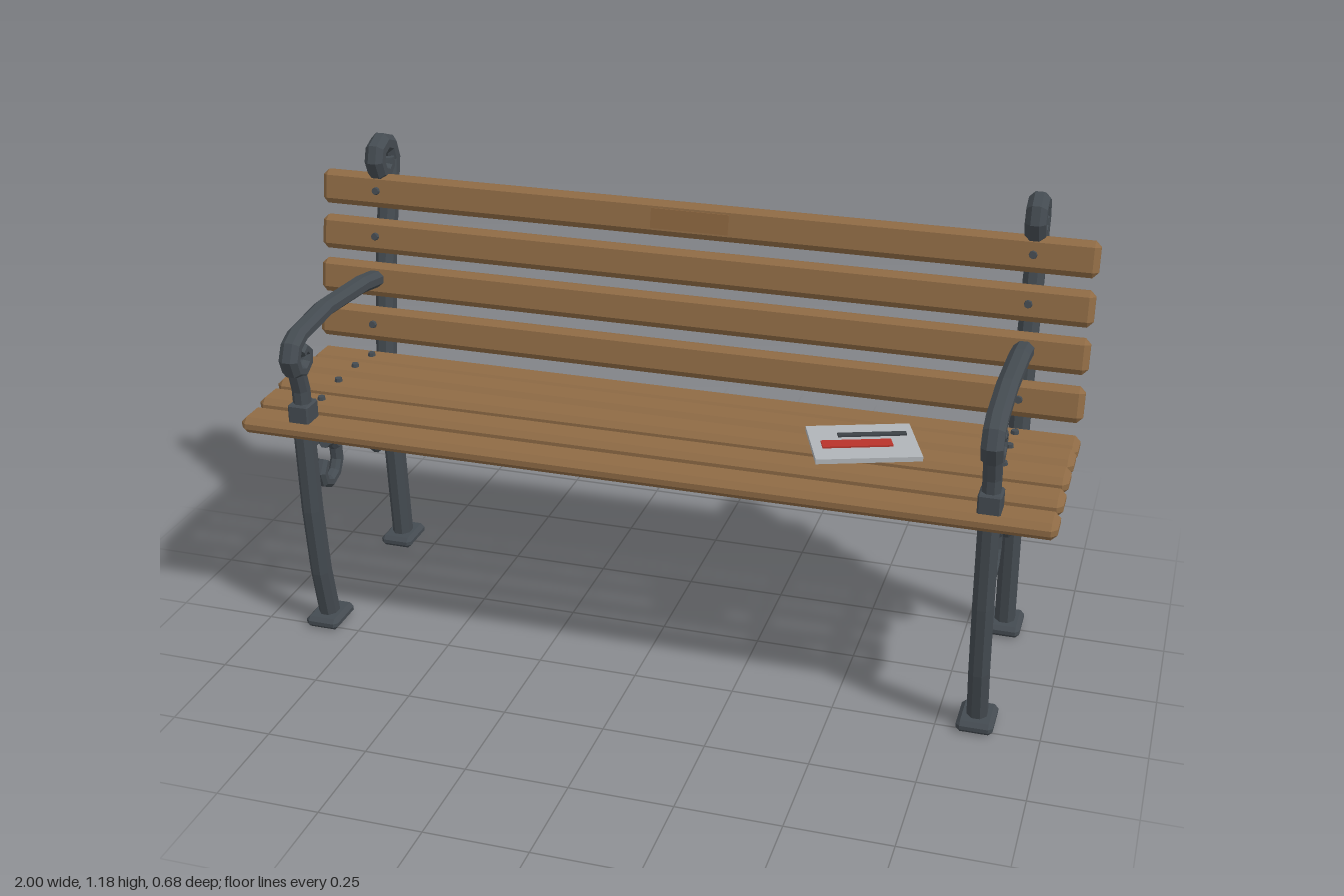
import * as THREE from 'three';
import { ConvexGeometry } from 'three/addons/geometries/ConvexGeometry.js';

const material = (name, color) => {
  const m = new THREE.MeshStandardMaterial({ color, flatShading: true });
  m.name = name;
  return m;
};

// Box with every edge cut by c
function chamferBox(w, h, d, c) {
  const pts = [];
  for (const sx of [-1, 1]) for (const sy of [-1, 1]) for (const sz of [-1, 1]) {
    const x = w / 2, y = h / 2, z = d / 2;
    for (const p of [[x, y - c, z - c], [x - c, y, z - c], [x - c, y - c, z]]) {
      pts.push(new THREE.Vector3(p[0] * sx, p[1] * sy, p[2] * sz));
    }
  }
  return new ConvexGeometry(pts);
}

// Octagonal bar swept along a [z, y] path, width along x, thickness tapering t0 to t1
function bar(path, width, t0, t1 = t0) {
  const k = 0.42;
  const section = [[1, -k], [1, k], [k, 1], [-k, 1], [-1, k], [-1, -k], [-k, -1], [k, -1]];
  const pts = path.map(([z, y]) => new THREE.Vector2(z, y));
  const n = pts.length, pos = [], index = [];
  pts.forEach((p, i) => {
    const a = pts[Math.max(i - 1, 0)], b = pts[Math.min(i + 1, n - 1)];
    const before = (i ? p.clone().sub(a) : b.clone().sub(p)).normalize();
    const after = (i < n - 1 ? b.clone().sub(p) : before.clone()).normalize();
    const t = before.clone().add(after).normalize();
    const miter = Math.min(1 / t.dot(after), 1.25);
    const half = THREE.MathUtils.lerp(t0, t1, i / (n - 1)) / 2 * miter;
    for (const [u, v] of section) {
      pos.push(u * width / 2, p.y + t.x * v * half, p.x - t.y * v * half);
    }
    if (i === n - 1) return;
    for (let j = 0; j < 8; j++) {
      const q = i * 8 + j, r = i * 8 + (j + 1) % 8;
      index.push(q, r, r + 8, q, r + 8, q + 8);
    }
  });
  const end = (n - 1) * 8;
  for (let j = 1; j < 7; j++) {
    index.push(0, j + 1, j, end, end + j, end + j + 1);
  }
  const g = new THREE.BufferGeometry();
  g.setAttribute('position', new THREE.Float32BufferAttribute(pos, 3));
  g.setIndex(index);
  g.computeVertexNormals();
  return g;
}

export function createModel() {
  const model = new THREE.Group();
  model.name = 'parkBench';
  const wood = material('wood', 0x8f6b45);
  const iron = material('castIron', 0x444b51);
  const bronze = material('plaqueBrown', 0x8a643e);
  const paper = material('paperGrey', 0xb0b4b8);
  const red = material('printRed', 0xb8332a);
  const ink = material('printDark', 0x3c4146);

  const add = (parent, name, geometry, mat, x = 0, y = 0, z = 0) => {
    const m = new THREE.Mesh(geometry, mat);
    m.name = name;
    m.position.set(x, y, z);
    parent.add(m);
    return m;
  };
  const sideX = 0.845;

  // Cast iron end frames
  const post = bar([[-0.255, 0.02], [-0.215, 0.54], [-0.25, 0.82], [-0.283, 0.97], [-0.312, 1.1],
    [-0.297, 1.138], [-0.262, 1.151], [-0.231, 1.138], [-0.222, 1.112], [-0.234, 1.084],
    [-0.26, 1.074], [-0.28, 1.088], [-0.28, 1.11]], 0.05, 0.06, 0.036);
  const leg = bar([[0.215, 0.02], [0.245, 0.165], [0.265, 0.35], [0.275, 0.58]], 0.048, 0.056);
  const rail = bar([[0.265, 0.531], [-0.21, 0.531]], 0.04, 0.042);
  const arm = bar([[-0.22, 0.8], [-0.09, 0.822], [0.12, 0.835], [0.27, 0.82], [0.305, 0.803],
    [0.32, 0.772], [0.309, 0.743], [0.281, 0.732], [0.256, 0.747], [0.25, 0.772],
    [0.269, 0.788], [0.286, 0.779]], 0.05, 0.043, 0.028);
  const armSupport = bar([[0.272, 0.62], [0.274, 0.68], [0.288, 0.73]], 0.042, 0.042);
  const frontScroll = bar([[0.175, 0.495], [0.14, 0.485], [0.115, 0.46], [0.112, 0.42], [0.13, 0.39],
    [0.165, 0.378], [0.195, 0.393], [0.205, 0.42], [0.186, 0.447]], 0.03, 0.034, 0.028);
  const backScroll = bar([[-0.15, 0.462], [-0.112, 0.447], [-0.09, 0.41], [-0.095, 0.37], [-0.122, 0.347],
    [-0.156, 0.35], [-0.174, 0.378], [-0.16, 0.404]], 0.03, 0.032, 0.028);
  const foot = chamferBox(0.088, 0.03, 0.114, 0.01);
  const block = chamferBox(0.054, 0.09, 0.06, 0.004);

  for (const [side, x] of [['left', sideX], ['right', -sideX]]) {
    const frame = new THREE.Group();
    frame.name = side + 'EndFrame';
    frame.position.x = x;
    model.add(frame);
    add(frame, 'backPost', post, iron);
    add(frame, 'frontLeg', leg, iron);
    add(frame, 'seatRail', rail, iron);
    add(frame, 'armrest', arm, iron);
    add(frame, 'armSupport', armSupport, iron);
    add(frame, 'armBlock', block, iron, 0, 0.6, 0.272);
    add(frame, 'frontScroll', frontScroll, iron);
    add(frame, 'backScroll', backScroll, iron);
    add(frame, 'backFoot', foot, iron, 0, 0.015, -0.255);
    add(frame, 'frontFoot', foot, iron, 0, 0.015, 0.215);
  }

  // Wooden slats with bolts; local +z is the face people touch
  const slatGeometry = chamferBox(2, 0.088, 0.042, 0.014);
  const boltGeometry = new THREE.CylinderGeometry(0.009, 0.011, 0.012, 8).rotateX(Math.PI / 2);
  const slat = (name, y, z, tilt, bolted) => {
    const g = new THREE.Group();
    g.name = name;
    g.position.set(0, y, z);
    g.rotation.x = tilt;
    model.add(g);
    add(g, 'plank', slatGeometry, wood);
    if (bolted) for (const x of [-sideX, sideX]) add(g, 'bolt', boltGeometry, iron, x, 0, 0.024);
    return g;
  };
  [[0.578, 0.272], [0.588, 0.172], [0.597, 0.072], [0.597, -0.028], [0.588, -0.128]]
    .forEach(([y, z], i) => slat('seatSlat', y, z, -Math.PI / 2, i > 0));
  const backSlats = [[0.685, -0.17], [0.8, -0.195], [0.913, -0.217], [1.03, -0.238]]
    .map(([y, z]) => slat('backSlat', y, z, -0.2, true));

  // Small plaque on the top slat
  add(backSlats[3], 'plaque', new THREE.BoxGeometry(0.2, 0.05, 0.008), bronze, 0, 0, 0.0225);

  // Folded newspaper on the seat
  const news = new THREE.Group();
  news.name = 'newspaper';
  news.position.set(0.513, 0.624, 0.066);
  news.rotation.y = 0.355;
  model.add(news);
  add(news, 'sheets', new THREE.BoxGeometry(0.252, 0.012, 0.188), paper);
  add(news, 'redPrint', new THREE.BoxGeometry(0.168, 0.005, 0.037), red, -0.018, 0.0075, 0.016);
  add(news, 'headline', new THREE.BoxGeometry(0.165, 0.005, 0.018), ink, 0.026, 0.0075, -0.034);

  return model;
}
